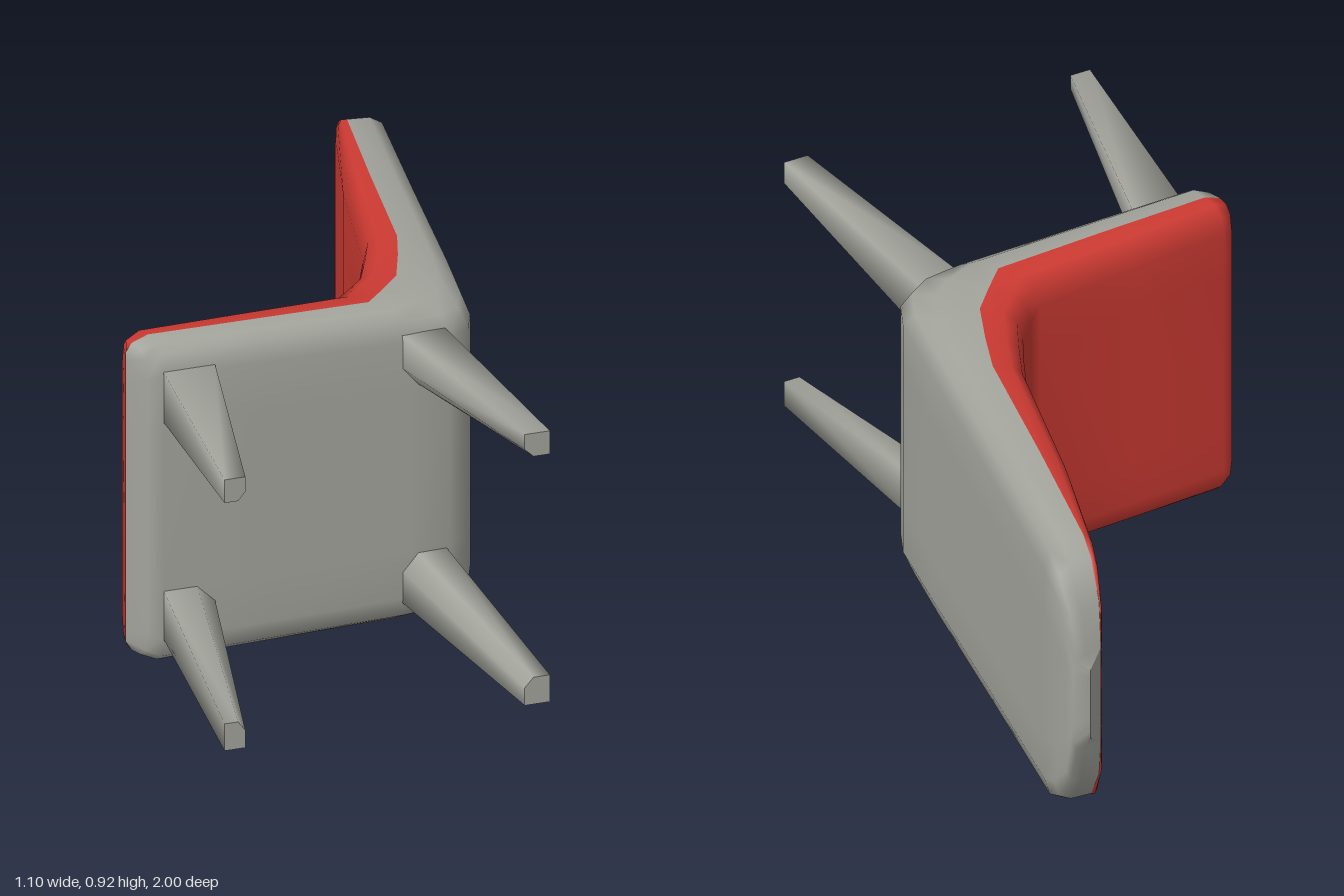
import * as THREE from 'three';

const CENTRE_Y = 0.463;

// Stations along the bent shell: [seam x,z, cushion x,z, outer shell x,z, half width]
const STATIONS = [
  [-0.55, 0.275, -0.55, 0.275, -0.55, 0.275, 0.42],
  [-0.535, 0.278, -0.543, 0.225, -0.515, 0.348, 0.445],
  [-0.49, 0.277, -0.51, 0.208, -0.475, 0.364, 0.462],
  [-0.2, 0.27, -0.25, 0.185, -0.2, 0.364, 0.457],
  [0.12, 0.26, 0.05, 0.16, 0.2, 0.364, 0.45],
  [0.18, 0.197, 0.1, 0.112, 0.31, 0.36, 0.448],
  [0.24, 0.13, 0.15, 0.06, 0.37, 0.328, 0.446],
  [0.285, 0.01, 0.195, -0.035, 0.402, 0.25, 0.444],
  [0.32, -0.1, 0.24, -0.14, 0.428, 0.05, 0.44],
  [0.375, -0.48, 0.325, -0.55, 0.485, -0.4, 0.428],
  [0.43, -0.83, 0.408, -0.85, 0.542, -0.83, 0.416],
  [0.437, -0.89, 0.423, -0.905, 0.545, -0.89, 0.38],
  [0.442, -0.945, 0.437, -0.952, 0.545, -0.96, 0.28],
  [0.45, -0.972, 0.45, -0.972, 0.54, -0.988, 0.15],
  [0.495, -1.0, 0.495, -1.0, 0.495, -1.0, 0.11],
];

// Skins rows of points; the rows must have equal length
function skin(rows, flip, closed = false) {
  const n = rows[0].length;
  const index = [];
  for (let i = 0; i < rows.length - 1; i++) {
    for (let j = 0; j < (closed ? n : n - 1); j++) {
      const k = (j + 1) % n;
      const a = i * n + j, b = a + n, c = i * n + k, d = c + n;
      if (flip) index.push(a, b, c, b, d, c);
      else index.push(a, c, b, b, c, d);
    }
  }
  const geometry = new THREE.BufferGeometry();
  geometry.setAttribute('position', new THREE.Float32BufferAttribute(rows.flat(2), 3));
  geometry.setIndex(index);
  geometry.computeVertexNormals();
  return geometry;
}

// One side of the upholstery, rounded from the seam onto its broad face
function sectionRow([sx, sz, ix, iz, ox, oz, w], inner) {
  const [fx, fz] = inner ? [ix, iz] : [ox, oz];
  const half = [[0, 0], [0.55, 0.004], [0.86, 0.025], [1, 0.08], [1, 0.22]];
  const point = ([t, inset], side) => [
    sx + (fx - sx) * t,
    CENTRE_Y + side * (w - inset * Math.min(1, w / 0.4)),
    sz + (fz - sz) * t,
  ];
  return [
    ...half.map((p) => point(p, 1)),
    ...half.slice().reverse().map((p) => point(p, -1)),
  ];
}

// Tapered leg, squared outside and bevelled towards the inner corner
function legGeometry(foot, top) {
  const outline = [[0, 0], [1, 0], [1, 0.65], [0.65, 1], [0, 1]];
  const ring = ([x0, x1, y0, y1], z) =>
    outline.map(([u, v]) => [x0 + (x1 - x0) * u, y0 + (y1 - y0) * v, z]);
  const mirrored = (foot[1] - foot[0]) * (foot[3] - foot[2]) < 0;
  return {
    sides: skin([ring(top, 0.34), ring(foot, 1)], !mirrored ? false : true, true),
    sole: skin([ring(foot, 1), outline.map(() =>
      [(foot[0] + foot[1]) / 2, (foot[2] + foot[3]) / 2, 1])], mirrored, true),
  };
}

export function createModel() {
  const grey = new THREE.MeshStandardMaterial({ color: 0xa3a49c });
  grey.name = 'warm grey';
  const red = new THREE.MeshStandardMaterial({ color: 0xcc3a32 });
  red.name = 'red';

  const chair = new THREE.Group();
  chair.name = 'chair lying on its side';
  const add = (name, geometry, material, parent = chair) => {
    const mesh = new THREE.Mesh(geometry, material);
    mesh.name = name;
    parent.add(mesh);
  };

  // Outer shell, red cushion and the rim over the top of the backrest
  add('shell', skin(STATIONS.map((s) => sectionRow(s, false)), false), grey);
  add('cushion', skin(STATIONS.slice(0, -1).map((s) => sectionRow(s, true)), true), red);
  add('topRim', skin(STATIONS.slice(-2).map((s) => sectionRow(s, true)), true), grey);

  // Legs: outer x, inner x, outer y, inner y at the foot and at the seat
  const legs = [
    ['frontLegUpper', [-0.525, -0.468, 0.85, 0.783], [-0.474, -0.33, 0.853, 0.705]],
    ['frontLegLower', [-0.525, -0.468, 0.065, 0.143], [-0.474, -0.33, 0.08, 0.222]],
    ['backLegUpper', [0.366, 0.297, 0.85, 0.783], [0.298, 0.175, 0.853, 0.705]],
    ['backLegLower', [0.366, 0.297, 0.065, 0.143], [0.298, 0.175, 0.08, 0.222]],
  ];
  for (const [name, foot, top] of legs) {
    const leg = new THREE.Group();
    leg.name = name;
    const { sides, sole } = legGeometry(foot, top);
    add('legSides', sides, grey, leg);
    add('legSole', sole, grey, leg);
    chair.add(leg);
  }
  return chair;
}
